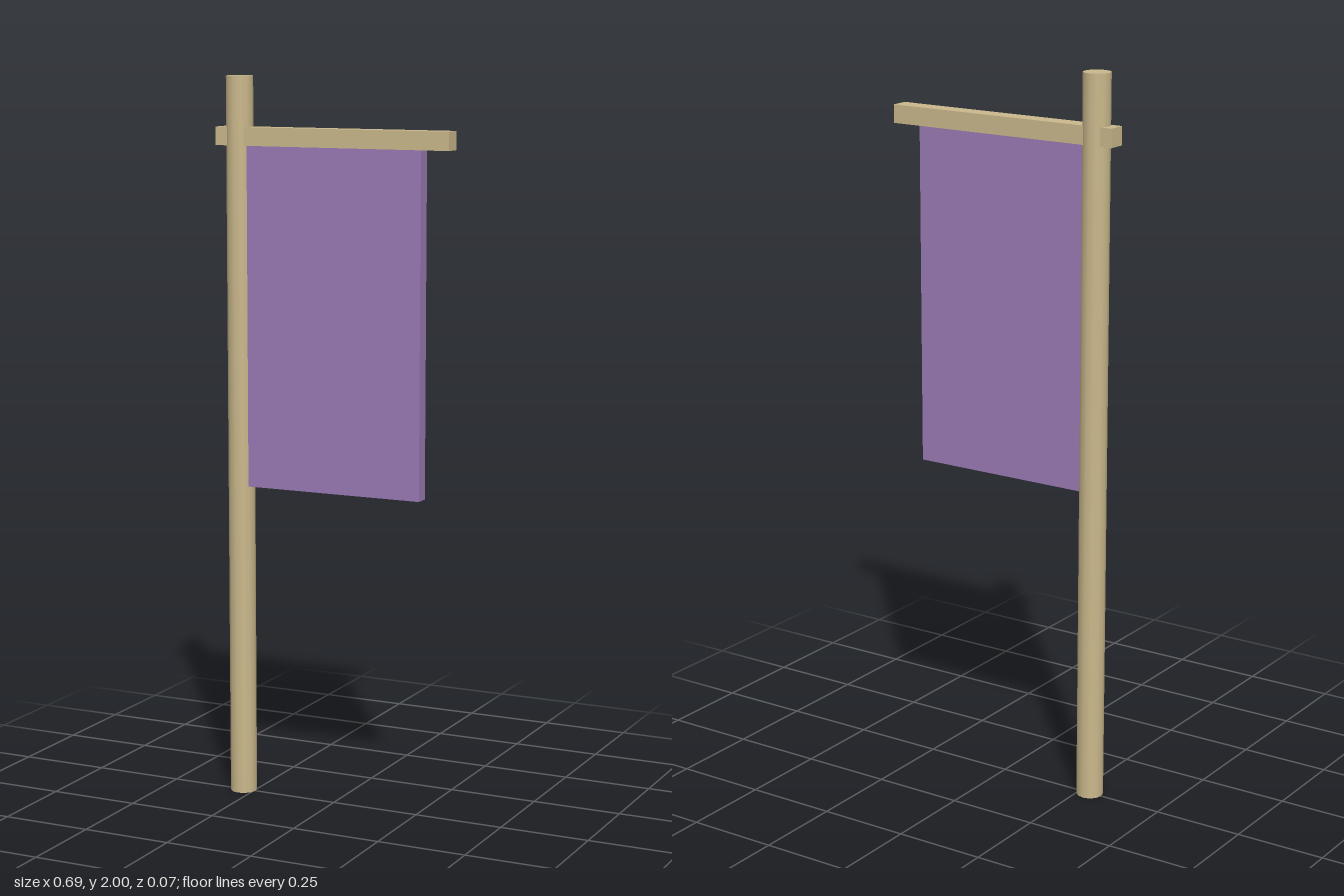
import * as THREE from 'three';

export function createModel() {
  const group = new THREE.Group();
  const wood = new THREE.MeshStandardMaterial({ color: 0xcbb98c });
  wood.name = 'pale wood';
  const cloth = new THREE.MeshStandardMaterial({ color: 0x9b7bb5 });
  cloth.name = 'purple cloth';

  const add = (name, geometry, material, x, y) => {
    const mesh = new THREE.Mesh(geometry, material);
    mesh.name = name;
    mesh.position.set(x, y, 0);
    group.add(mesh);
  };

  // Upright round pole
  add('pole', new THREE.CylinderGeometry(0.037, 0.037, 2, 12), wood, -0.282, 1);
  // Square bar passing through the pole
  add('crossbar', new THREE.BoxGeometry(0.686, 0.05, 0.05), wood, 0, 1.838);
  // Cloth hanging under the bar, its inner edge tucked into the pole
  add('banner', new THREE.BoxGeometry(0.524, 0.935, 0.04), cloth, 0, 1.3455);

  return group;
}
